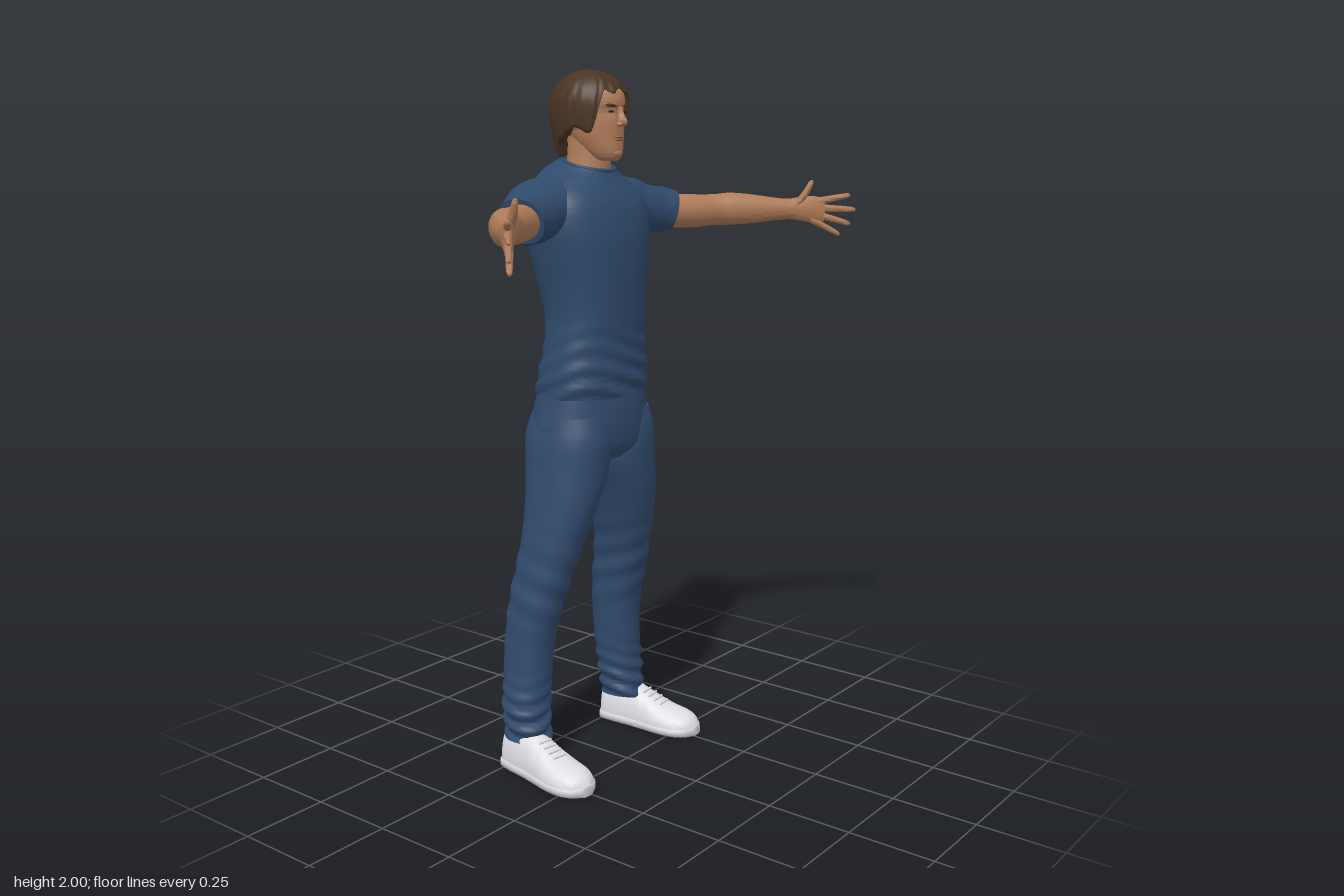
import * as THREE from 'three';
import { toCreasedNormals } from 'three/addons/utils/BufferGeometryUtils.js';

const material = (name, color) => Object.assign(new THREE.MeshStandardMaterial({ color }), { name });
const MAT = {
  skin: material('skin', 0xb07c59),
  lips: material('lips', 0x96604a),
  hair: material('hair', 0x4a3423),
  dark: material('eye dark', 0x33261e),
  shirt: material('shirt blue', 0x2f4a6b),
  jeans: material('jeans blue', 0x314b6d),
  shoe: material('shoe white', 0xdedee3),
  sole: material('sole white', 0xcfcfd4),
};
const X = new THREE.Vector3(1, 0, 0), Y = new THREE.Vector3(0, 1, 0), Z = new THREE.Vector3(0, 0, 1);
const ss = THREE.MathUtils.smoothstep; // (value, min, max)

// Horizontal body section: height, half width, front z, back z, centre x
const sec = (y, rx, front, back, x = 0) => [x, y, (front + back) / 2, rx, (front - back) / 2];

// Smooth skin over rows [x, y, z, radius along u, radius along v], capped at both ends
function loft(rows, { u = X, v = Z, seg = 32, steps = 6, n = 2, map, side = 1 } = {}) {
  const centres = new THREE.CatmullRomCurve3(rows.map(r => new THREE.Vector3(r[0], r[1], r[2])), false, 'catmullrom', 0.5);
  const radii = new THREE.CatmullRomCurve3(rows.map(r => new THREE.Vector3(r[3], r[4], 0)), false, 'catmullrom', 0.5);
  const count = (rows.length - 1) * steps, pos = [], index = [];
  const put = p => pos.push(p.x * side, p.y, p.z);
  const bend = c => Math.sign(c) * Math.abs(c) ** (2 / n);
  for (let i = 0; i <= count; i++) {
    const c = centres.getPoint(i / count), r = radii.getPoint(i / count);
    for (let j = 0; j < seg; j++) {
      const a = j / seg * Math.PI * 2;
      const p = c.clone().addScaledVector(u, r.x * bend(Math.cos(a))).addScaledVector(v, r.y * bend(Math.sin(a)));
      if (map) map(p, a, c);
      put(p);
    }
  }
  const start = centres.getPoint(0), end = centres.getPoint(1);
  const flip = u.clone().cross(v).dot(end.clone().sub(start)) * side < 0;
  const tri = (a, b, c) => flip ? index.push(a, c, b) : index.push(a, b, c);
  for (let i = 0; i < count; i++) for (let j = 0; j < seg; j++) {
    const a = i * seg + j, b = i * seg + (j + 1) % seg;
    tri(a, b, b + seg); tri(a, b + seg, a + seg);
  }
  // end caps, each centred on its own rim
  for (const [row, first] of [[0, true], [count, false]]) {
    const mid = new THREE.Vector3();
    for (let j = 0; j < seg; j++) mid.add(new THREE.Vector3().fromArray(pos, (row * seg + j) * 3));
    const m = pos.length / 3;
    pos.push(mid.x / seg, mid.y / seg, mid.z / seg);
    for (let j = 0; j < seg; j++) {
      const a = row * seg + j, b = row * seg + (j + 1) % seg;
      first ? tri(m, b, a) : tri(m, a, b);
    }
  }
  const g = new THREE.BufferGeometry();
  g.setAttribute('position', new THREE.Float32BufferAttribute(pos, 3));
  g.setIndex(index);
  return toCreasedNormals(g, 1.0);
}

// Hair cap: falls from the crown to a hairline that rises over the face
function hairGeometry() {
  const seg = 96, rows = 26, pos = [], index = [];
  for (let i = 0; i <= rows; i++) for (let j = 0; j < seg; j++) {
    const f = j / seg * Math.PI * 2, a = Math.abs(f > Math.PI ? f - 2 * Math.PI : f);
    const low = 1.938 - 0.105 * ss(a, 0.5, 0.95) - 0.068 * ss(a, 1.5, 2.4) + 0.008 * Math.sin(f * 9 + 1);
    const t = Math.min(i / (rows - 1), 1), tuck = i === rows;
    const y = low + (1.996 - low) * Math.cos(t * Math.PI / 2);
    let k = y > 1.9 ? Math.sqrt(Math.max(0, 1 - ((y - 1.9) / 0.096) ** 2)) : 1 - 0.24 * ((1.9 - y) / 0.14) ** 2;
    k *= 1 + 0.022 * t * (Math.sin(f * 19 + t * 7) + 0.7 * Math.sin(f * 31 - t * 11));
    if (tuck) k *= 0.72;
    pos.push(0.101 * k * Math.sin(f), y + (tuck ? 0.008 : 0), -0.133 + 0.117 * k * Math.cos(f));
    if (i < rows) {
      const p = i * seg + j, q = i * seg + (j + 1) % seg;
      if (i > 0) index.push(p, p + seg, q);
      index.push(q, p + seg, q + seg);
    }
  }
  const g = new THREE.BufferGeometry();
  g.setAttribute('position', new THREE.Float32BufferAttribute(pos, 3));
  g.setIndex(index);
  g.computeVertexNormals();
  return g;
}

export function createModel() {
  const model = new THREE.Group();
  model.name = 'standingMan';
  const add = (name, geometry, mat, parent = model) => {
    const mesh = new THREE.Mesh(geometry, mat);
    mesh.name = name;
    parent.add(mesh);
    return mesh;
  };
  const blob = (name, mat, at, size) => {
    const mesh = add(name, new THREE.SphereGeometry(1, 20, 14), mat);
    mesh.position.set(...at);
    mesh.scale.set(...size);
    return mesh;
  };

  // Shirt body, with a spine groove, hem folds and a collar lower at the front
  add('shirtBody', loft([
    sec(1.1, 0.178, 0, -0.262), sec(1.16, 0.178, 0.002, -0.25), sec(1.25, 0.165, 0, -0.232),
    sec(1.33, 0.158, 0.003, -0.235), sec(1.42, 0.17, 0.006, -0.258), sec(1.5, 0.187, 0.006, -0.274),
    sec(1.56, 0.198, 0.002, -0.278), sec(1.62, 0.198, -0.01, -0.276), sec(1.67, 0.178, -0.028, -0.268),
    sec(1.705, 0.135, -0.045, -0.252), sec(1.73, 0.093, -0.06, -0.226), sec(1.742, 0.076, -0.066, -0.212),
  ], {
    seg: 56, steps: 8, n: 2.3, map: (p, a, c) => {
      const h = c.y, out = Math.sin(h * 110 + Math.sin(a * 2) * 4) * 0.004 * (1 - ss(h, 1.15, 1.36));
      p.x += Math.cos(a) * out;
      p.z += Math.sin(a) * out;
      if (Math.sin(a) < 0) p.z += 0.014 * Math.exp(-((p.x / 0.03) ** 2)) * ss(h, 1.18, 1.3) * (1 - ss(h, 1.6, 1.7));
      p.y -= (p.z + 0.14) * 0.25 * ss(h, 1.62, 1.74);
    },
  }), MAT.shirt);
  const collar = add('shirtCollar', new THREE.TorusGeometry(0.074, 0.006, 8, 40), MAT.shirt);
  collar.position.set(0, 1.741, -0.139);
  collar.rotation.x = Math.PI / 2 + 0.245;

  // Hips
  add('jeansHips', loft([
    sec(1.13, 0.17, -0.008, -0.252), sec(1.06, 0.183, -0.002, -0.266), sec(1.0, 0.193, -0.002, -0.268),
    sec(0.95, 0.178, -0.01, -0.255), sec(0.915, 0.1, -0.04, -0.22),
  ], {
    seg: 48, n: 2.3, map: (p, a) => {
      if (Math.sin(a) < 0) p.z += 0.016 * Math.exp(-((p.x / 0.022) ** 2)) * (1 - ss(p.y, 1.0, 1.08));
    },
  }), MAT.jeans);

  const across = new THREE.Vector3(-0.5, 0, 0.866), palm = new THREE.Vector3(-0.68, 0, 0.73);
  for (const side of [1, -1]) {
    const s = side > 0 ? 'left' : 'right';

    // Jeans leg with knee and ankle folds
    add(s + 'JeansLeg', loft([
      sec(1.05, 0.085, -0.015, -0.25, 0.095), sec(0.98, 0.1, -0.003, -0.266, 0.1), sec(0.9, 0.104, -0.008, -0.258, 0.107),
      sec(0.8, 0.089, -0.02, -0.243, 0.134), sec(0.7, 0.079, -0.045, -0.238, 0.159), sec(0.6, 0.071, -0.072, -0.25, 0.179),
      sec(0.5, 0.07, -0.1, -0.266, 0.191), sec(0.4, 0.068, -0.125, -0.275, 0.2), sec(0.3, 0.067, -0.133, -0.274, 0.208),
      sec(0.2, 0.067, -0.134, -0.268, 0.219), sec(0.14, 0.06, -0.13, -0.264, 0.221), sec(0.095, 0.055, -0.122, -0.264, 0.221),
    ], {
      side, seg: 32, steps: 9, n: 2.2, map: (p, a, c) => {
        const cuff = 1 - ss(c.y, 0.17, 0.33), knee = Math.exp(-(((c.y - 0.55) / 0.12) ** 2));
        const out = Math.sin(c.y * 130 + Math.sin(a + 1) * 3) * 0.0055 * cuff + Math.sin(c.y * 75 + a * 2) * 0.003 * knee;
        p.x += Math.cos(a) * out;
        p.z += Math.sin(a) * out;
      },
    }), MAT.jeans);

    // Shoe: rounded upper, flat sole and laces, toes turned out
    const shoe = new THREE.Group();
    shoe.name = s + 'Shoe';
    shoe.position.set(side * 0.245, 0, -0.1);
    shoe.rotation.y = side * 0.12;
    model.add(shoe);
    const last = [[-0.165, 0.085, 0.022], [-0.152, 0.125, 0.044], [-0.1, 0.132, 0.052], [-0.05, 0.126, 0.054], [0, 0.105, 0.059],
      [0.06, 0.078, 0.066], [0.11, 0.066, 0.063], [0.145, 0.054, 0.045], [0.166, 0.032, 0.014]];
    add('shoeUpper', loft(last.map(([z, h, w]) => [0, 0.02, z, w, h - 0.02]),
      { u: X, v: Y, n: 2.3, map: p => { p.y = Math.max(p.y, 0.012); } }), MAT.shoe, shoe);
    add('shoeSole', loft(last.map(([z, , w]) => [0, 0.014, z * 1.015, w + 0.004, 0.014]), { u: X, v: Y, n: 6 }), MAT.sole, shoe);
    for (let i = 0; i < 4; i++) {
      const lace = add('shoeLace', new THREE.CapsuleGeometry(0.004, 0.04, 3, 8), MAT.shoe, shoe);
      lace.position.set(0, 0.11 - i * 0.009, -0.01 + i * 0.02);
      lace.rotation.z = Math.PI / 2;
    }

    // Sleeve, then the bare arm with the palm
    add(s + 'Sleeve', loft([
      [0.09, 1.635, -0.152, 0.075, 0.1], [0.16, 1.625, -0.158, 0.083, 0.104], [0.22, 1.615, -0.147, 0.079, 0.09],
      [0.28, 1.603, -0.12, 0.068, 0.071], [0.33, 1.6, -0.095, 0.061, 0.06],
    ], {
      u: Y, v: across, side, steps: 8, map: (p, a, c) => {
        p.y += Math.sin(a * 3 + c.x * 90) * 0.002;
        p.x += (p.y - 1.6) * 0.3 * ss(c.x, 0.25, 0.33);
      },
    }), MAT.shirt);
    add(s + 'Arm', loft([
      [0.27, 1.6, -0.125, 0.048, 0.05], [0.34, 1.597, -0.09, 0.049, 0.05], [0.4, 1.595, -0.06, 0.049, 0.047],
      [0.46, 1.597, -0.03, 0.046, 0.043], [0.5, 1.599, 0.004, 0.048, 0.041], [0.55, 1.598, 0.05, 0.043, 0.036],
      [0.6, 1.597, 0.1, 0.034, 0.027], [0.63, 1.597, 0.13, 0.031, 0.021], [0.66, 1.597, 0.16, 0.037, 0.019],
      [0.69, 1.593, 0.188, 0.041, 0.015], [0.708, 1.591, 0.205, 0.035, 0.01],
    ], { u: Y, v: across, side, seg: 28 }), MAT.skin);

    // Fingers as base and tip
    const fingers = {
      Index: [[0.685, 1.617, 0.183], [0.77, 1.637, 0.262]], Middle: [[0.69, 1.6, 0.187], [0.782, 1.593, 0.275]],
      Ring: [[0.688, 1.582, 0.186], [0.77, 1.55, 0.264]], Little: [[0.675, 1.567, 0.178], [0.746, 1.518, 0.243]],
    };
    for (const [name, [a, b]] of Object.entries(fingers)) {
      const at = (t, r) => [...a.map((q, i) => q + (b[i] - q) * t), r, r * 0.9];
      add(s + name + 'Finger', loft([at(0, 0.012), at(0.35, 0.0105), at(0.65, 0.0095), at(0.93, 0.0075), at(1, 0.002)],
        { u: Y, v: palm, side, seg: 12, steps: 3 }), MAT.skin);
    }
    add(s + 'Thumb', loft([
      [0.638, 1.605, 0.142, 0.016, 0.016], [0.65, 1.628, 0.162, 0.014, 0.014], [0.657, 1.655, 0.178, 0.011, 0.01],
      [0.662, 1.677, 0.187, 0.008, 0.007], [0.663, 1.684, 0.189, 0.002, 0.002],
    ], { u: new THREE.Vector3(0.73, 0, 0.68), v: palm, side, seg: 12, steps: 4 }), MAT.skin);

    // Paired face details
    blob(s + 'Ear', MAT.skin, [side * 0.076, 1.862, -0.122], [0.012, 0.028, 0.017]);
    blob(s + 'Eye', MAT.dark, [side * 0.03, 1.883, -0.032], [0.011, 0.0035, 0.004]);
    blob(s + 'Brow', MAT.hair, [side * 0.031, 1.899, -0.031], [0.018, 0.0042, 0.007]).rotation.set(0, side * 0.25, side * 0.08);
    blob(s + 'Nostril', MAT.skin, [side * 0.009, 1.849, -0.02], [0.007, 0.006, 0.009]);
  }

  // Neck and head
  add('neck', loft([
    sec(1.68, 0.075, -0.085, -0.215), sec(1.72, 0.065, -0.075, -0.208), sec(1.76, 0.058, -0.073, -0.198), sec(1.83, 0.056, -0.075, -0.2),
  ]), MAT.skin);
  add('head', loft([
    sec(1.75, 0.016, -0.042, -0.08), sec(1.757, 0.033, -0.032, -0.11), sec(1.778, 0.048, -0.025, -0.15), sec(1.812, 0.062, -0.025, -0.19),
    sec(1.85, 0.07, -0.024, -0.215), sec(1.885, 0.074, -0.026, -0.225), sec(1.905, 0.076, -0.022, -0.228), sec(1.935, 0.076, -0.03, -0.228),
    sec(1.965, 0.062, -0.055, -0.205), sec(1.982, 0.03, -0.1, -0.165),
  ], {
    seg: 48, map: p => { // eye sockets
      const d = ((Math.abs(p.x) - 0.03) / 0.016) ** 2 + ((p.y - 1.884) / 0.012) ** 2;
      if (p.z > -0.1) p.z -= 0.006 * Math.exp(-d);
    },
  }), MAT.skin);
  add('nose', loft([
    sec(1.897, 0.007, -0.019, -0.04), sec(1.875, 0.008, -0.011, -0.04), sec(1.858, 0.011, -0.001, -0.04),
    sec(1.848, 0.01, -0.004, -0.04), sec(1.842, 0.005, -0.016, -0.035),
  ], { seg: 16 }), MAT.skin);
  blob('upperLip', MAT.lips, [0, 1.815, -0.027], [0.02, 0.004, 0.007]);
  blob('lowerLip', MAT.lips, [0, 1.808, -0.028], [0.017, 0.0045, 0.007]);
  blob('chin', MAT.skin, [0, 1.772, -0.037], [0.02, 0.014, 0.014]);
  add('hair', hairGeometry(), MAT.hair);
  return model;
}
